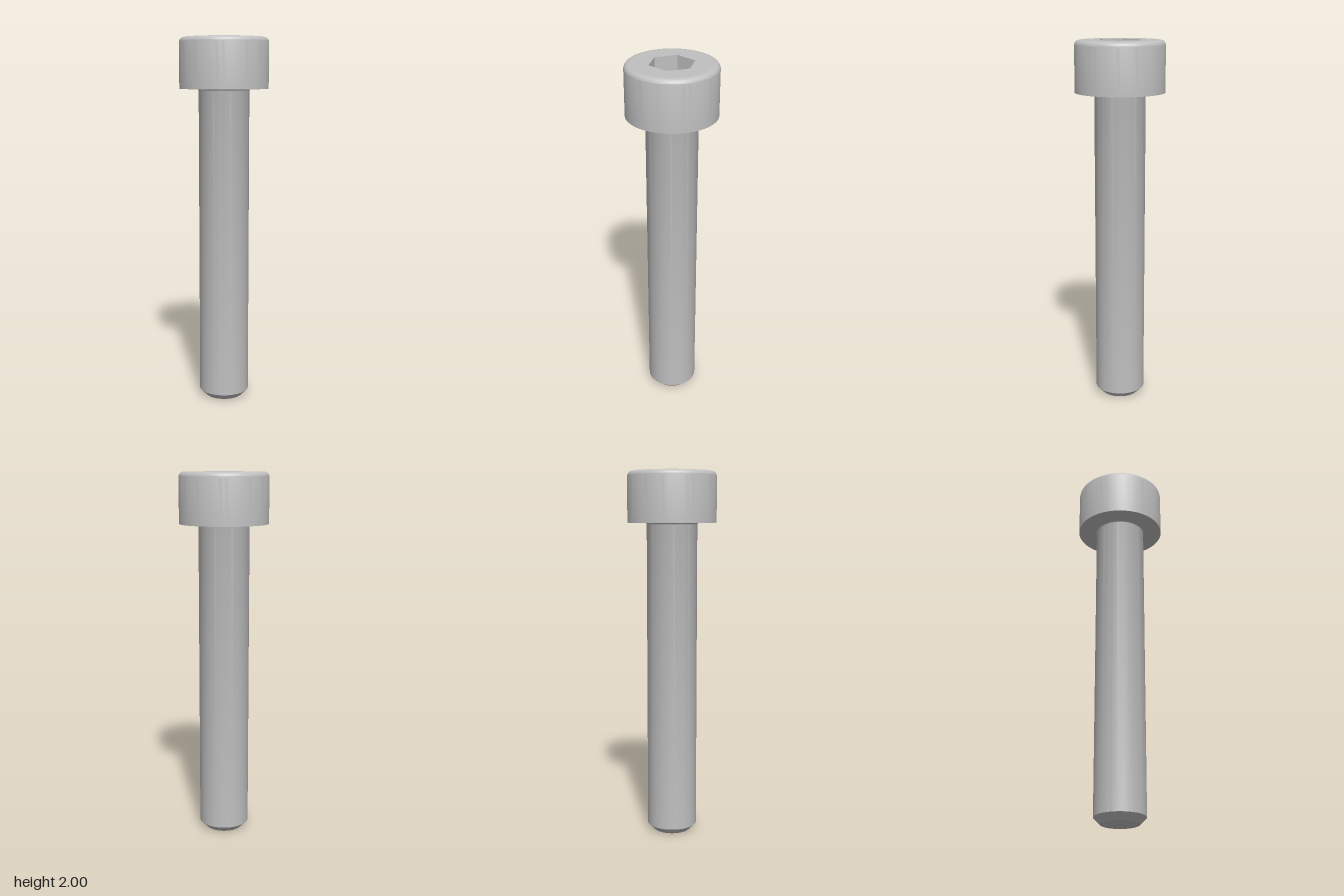
import * as THREE from 'three';
import { toCreasedNormals } from 'three/addons/utils/BufferGeometryUtils.js';

const SEGMENTS = 96;
const HEAD_R = 0.241, SHAFT_R = 0.137, HEAD_Y = 1.727, TOP = 2;
const ROUND = 0.028, FILLET = 0.012, CHAMFER = 0.035, SOCKET_R = 0.12;

// Points of a circular arc for a lathe profile
function arc(cx, cy, r, from, to, steps = 6) {
  return Array.from({ length: steps + 1 }, (_, i) => {
    const a = from + (to - from) * i / steps;
    return new THREE.Vector2(cx + r * Math.cos(a), cy + r * Math.sin(a));
  });
}

export function createModel() {
  const steel = new THREE.MeshStandardMaterial({ color: 0xc0c0c0 });
  steel.name = 'steel grey';
  const group = new THREE.Group();
  group.name = 'socketHeadBolt';

  const add = (name, geometry) => {
    const mesh = new THREE.Mesh(geometry, steel);
    mesh.name = name;
    group.add(mesh);
  };
  const lathe = (points, sides, crease) =>
    toCreasedNormals(new THREE.LatheGeometry(points, sides), crease);
  const v = (x, y) => new THREE.Vector2(x, y);

  // Shaft: flat tip, chamfer, plain cylinder, small fillet under the head
  add('shaft', lathe([
    v(0, 0), v(SHAFT_R - CHAMFER, 0), v(SHAFT_R, CHAMFER),
    ...arc(SHAFT_R + FILLET, HEAD_Y - FILLET, FILLET, Math.PI, Math.PI / 2),
  ], SEGMENTS, 0.5));

  // Head: flat underside, straight wall, rounded upper edge
  add('head', lathe([
    v(SHAFT_R + FILLET, HEAD_Y), v(HEAD_R, HEAD_Y),
    ...arc(HEAD_R - ROUND, TOP - ROUND, ROUND, 0, Math.PI / 2, 8),
  ], SEGMENTS, 0.5));

  // Top face with a hexagonal opening, corners on the z axis
  const face = new THREE.Shape().absarc(0, 0, HEAD_R - ROUND, 0, Math.PI * 2);
  const corners = Array.from({ length: 6 }, (_, i) => {
    const a = i * Math.PI / 3;
    return v(SOCKET_R * Math.sin(a), SOCKET_R * Math.cos(a));
  });
  face.holes.push(new THREE.Path(corners));
  add('headTop', new THREE.ShapeGeometry(face, SEGMENTS)
    .rotateX(-Math.PI / 2).translate(0, TOP, 0));

  // Socket: six inward walls and a pointed floor
  add('hexSocket', lathe([
    v(SOCKET_R, TOP), v(SOCKET_R, TOP - 0.105), v(0, TOP - 0.17),
  ], 6, 0.2));

  return group;
}
